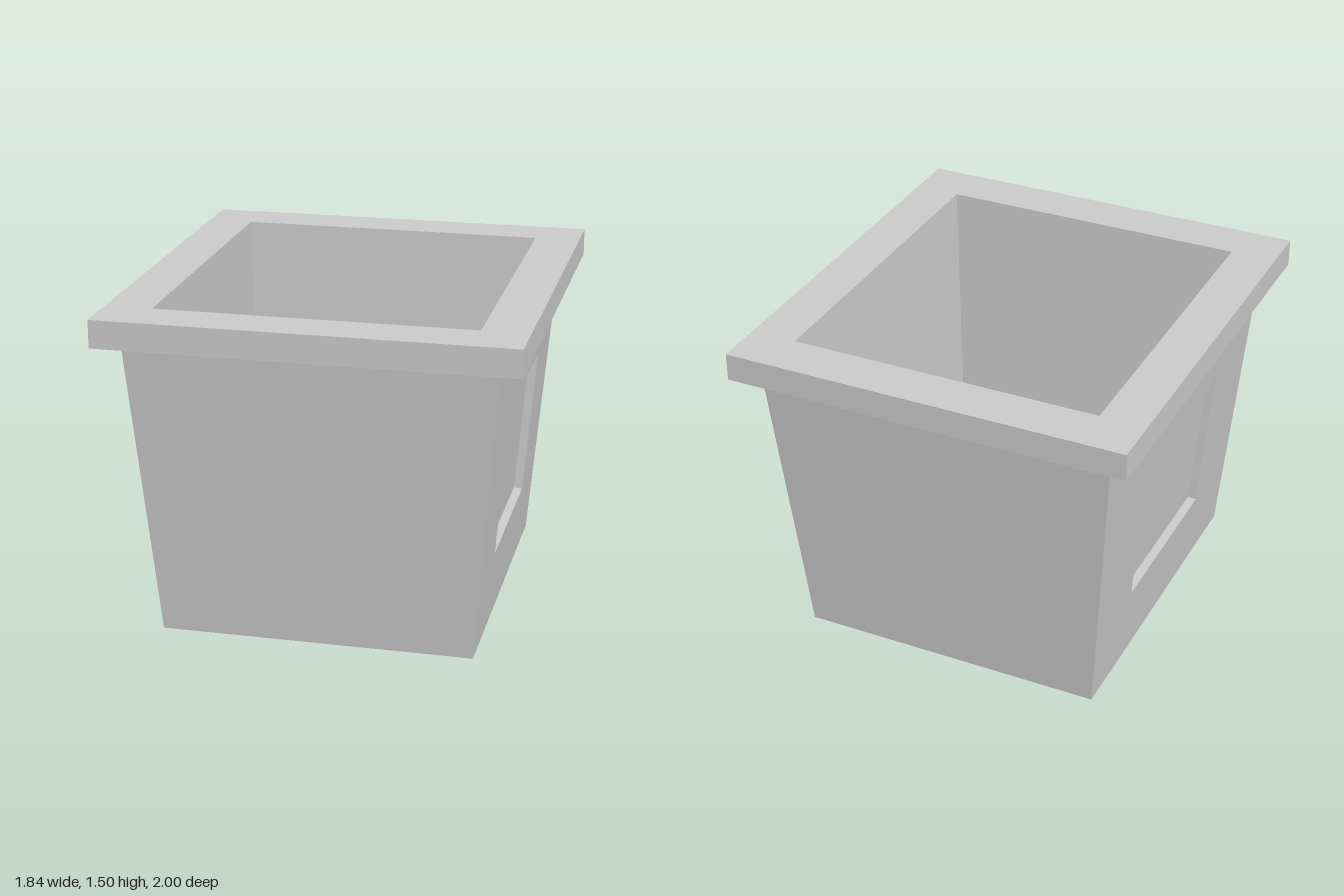
import * as THREE from 'three';

const material = new THREE.MeshStandardMaterial({ color: 0xcccccc, flatShading: true });

// Rectangular ring, counter-clockwise from above
const ring = (x, z, y) => [[x, y, z], [x, y, -z], [-x, y, -z], [-x, y, z]];

// Quads joining two four-point loops, for the chosen sides
const bridge = (a, b, sides = [0, 1, 2, 3]) =>
  sides.map((i) => [a[i], a[(i + 1) % 4], b[(i + 1) % 4], b[i]]);

function quadMesh(name, quads) {
  const positions = quads.flatMap(([a, b, c, d]) => [a, b, c, a, c, d].flat());
  const geometry = new THREE.BufferGeometry();
  geometry.setAttribute('position', new THREE.Float32BufferAttribute(positions, 3));
  geometry.computeVertexNormals();
  const mesh = new THREE.Mesh(geometry, material);
  mesh.name = name;
  return mesh;
}

export function createModel() {
  const group = new THREE.Group();
  group.name = 'planter';

  const base = ring(0.705, 0.78, 0);
  const neck = ring(0.815, 0.9, 1.37);
  const rimLow = ring(0.92, 1, 1.37);
  const rimHigh = ring(0.92, 1, 1.495);
  const mouth = ring(0.71, 0.78, 1.495);
  const floor = ring(0.66, 0.725, 0.1);

  // Plain front and back walls with the underside
  group.add(quadMesh('body', [[...base].reverse(), ...bridge(base, neck, [1, 3])]));

  // Overhanging rim
  group.add(quadMesh('rim', [
    ...bridge(neck, rimLow), ...bridge(rimLow, rimHigh), ...bridge(rimHigh, mouth),
  ]));

  // Hollow inside
  group.add(quadMesh('interior', [...bridge(mouth, floor), floor]));

  // Side walls, each with a panel sunk square to the sloping face
  const slope = (0.815 - 0.705) / 1.37;
  const depth = 0.04;
  const wall = [base[0], base[1], neck[1], neck[0]];
  const edge = [[0.405, 0.345], [-0.405, 0.345], [-0.437, 1.03], [0.437, 1.03]]
    .map(([z, y]) => [0.705 + slope * y, y, z]);
  const sunk = edge.map(([x, y, z]) => [x - depth, y + depth * slope, z]);
  for (const [name, turn] of [['leftWall', 0], ['rightWall', Math.PI]]) {
    const side = quadMesh(name, [...bridge(wall, edge), ...bridge(edge, sunk), sunk]);
    side.rotation.y = turn;
    group.add(side);
  }

  return group;
}
